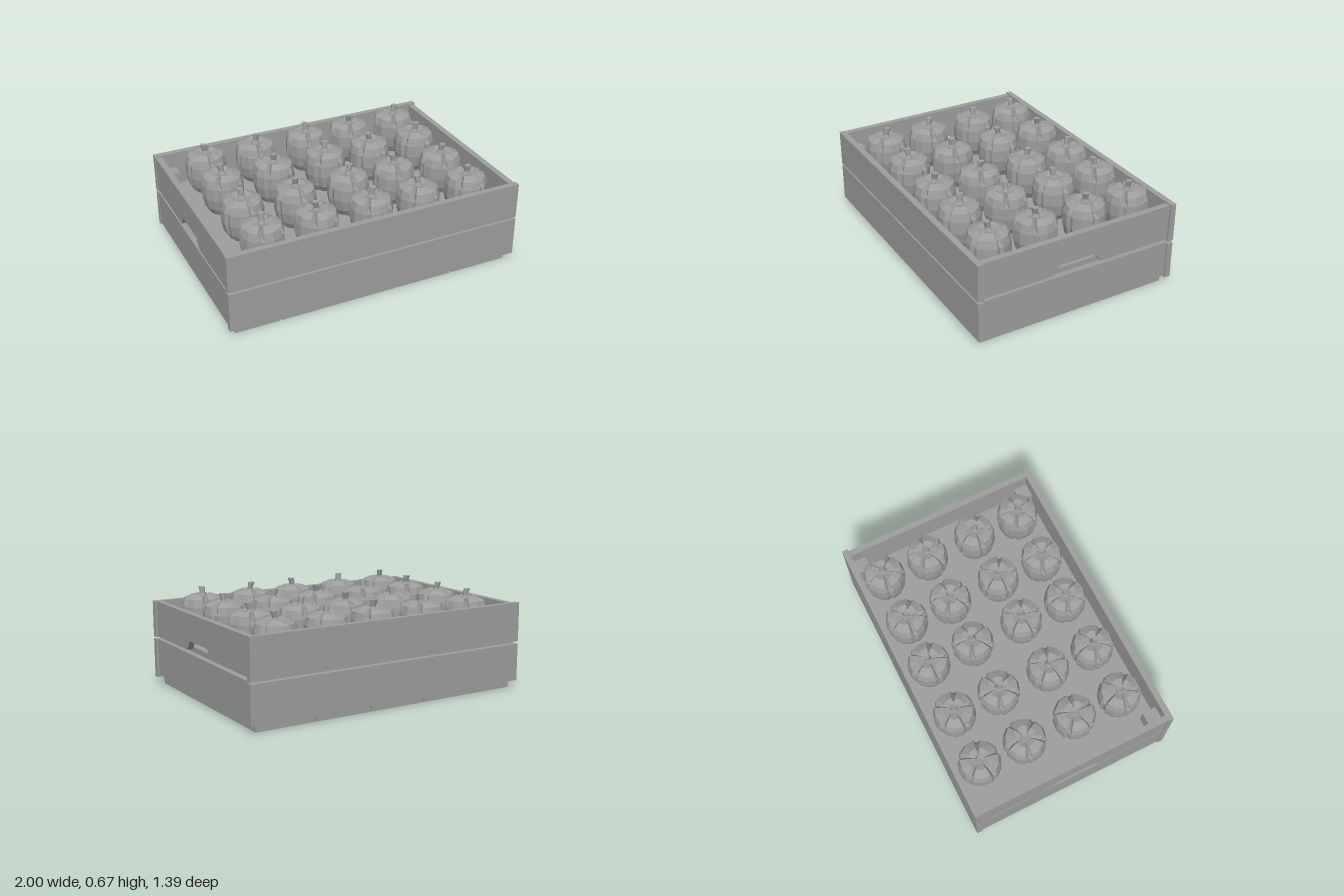
import * as THREE from 'three';

const mat = new THREE.MeshStandardMaterial({ color: 0x9d9d9d, flatShading: true });

function addBox(parent, name, [x0, x1], [y0, y1], [z0, z1], tilt = 0) {
  const mesh = new THREE.Mesh(new THREE.BoxGeometry(x1 - x0, y1 - y0, z1 - z0), mat);
  mesh.position.set((x0 + x1) / 2, (y0 + y1) / 2, (z0 + z1) / 2);
  mesh.rotation.x = tilt;
  mesh.name = name;
  parent.add(mesh);
}

// End board with a trapezoid hand hole cut into its lower edge
function addHandleBoard(parent, name, x0, thickness) {
  const shape = new THREE.Shape([
    [-0.657, 0.33], [-0.16, 0.33], [-0.108, 0.393], [0.142, 0.393],
    [0.188, 0.33], [0.657, 0.33], [0.657, 0.57], [-0.657, 0.57],
  ].map(([z, y]) => new THREE.Vector2(-z, y)));
  const geo = new THREE.ExtrudeGeometry(shape, { depth: thickness, bevelEnabled: false });
  geo.rotateY(Math.PI / 2); // shape x becomes -z, depth becomes x
  const mesh = new THREE.Mesh(geo, mat);
  mesh.position.x = x0;
  mesh.name = name;
  parent.add(mesh);
}

// Low-poly pumpkin body: broad flat lobes split by narrow grooves, notched at the shoulder
function pumpkinGeometry() {
  const profile = [
    [0, 0.33], [0.07, 0.33], [0.095, 0.35], [0.122, 0.395], [0.138, 0.47],
    [0.137, 0.55], [0.122, 0.602], [0.07, 0.624], [0.025, 0.612], [0, 0.61],
  ].map(([r, y]) => new THREE.Vector2(r, y));
  const lobes = 5, perLobe = 4;
  const geo = new THREE.LatheGeometry(profile, lobes * perLobe);
  const pos = geo.attributes.position;
  const steps = [0, 0.14, 0.5, 0.86];
  const rows = profile.length;
  for (let i = 0; i < pos.count; i++) {
    const col = Math.floor(i / rows), k = col % perLobe;
    const angle = (Math.floor(col / perLobe) + steps[k]) / lobes * Math.PI * 2;
    const y = pos.getY(i), r = profile[i % rows].x;
    const groove = k === 0 ? (y > 0.57 ? 0.8 : 0.91) : 1;
    const dip = k === 0 && y > 0.58 && r > 0.05 ? 0.018 : 0;
    pos.setXYZ(i, Math.sin(angle) * r * groove, y - dip, Math.cos(angle) * r * groove);
  }
  geo.computeVertexNormals();
  return geo;
}

// Seven-sided stem, flared at the foot and leaning to one side
function stemGeometry() {
  const profile = [[0, 0.6], [0.034, 0.6], [0.018, 0.63], [0.022, 0.672], [0, 0.668]]
    .map(([r, y]) => new THREE.Vector2(r, y));
  const geo = new THREE.LatheGeometry(profile, 7);
  const pos = geo.attributes.position;
  for (let i = 0; i < pos.count; i++) {
    const t = Math.max(0, (pos.getY(i) - 0.6) / 0.07);
    pos.setX(i, pos.getX(i) - 0.012 * t * t);
  }
  geo.computeVertexNormals();
  return geo;
}

export function createModel() {
  const model = new THREE.Group();
  model.name = 'pumpkinCrate';

  const crate = new THREE.Group();
  crate.name = 'crate';
  model.add(crate);

  // Base planks with narrow gaps
  [[-0.957, -0.665], [-0.654, -0.256], [-0.245, 0.14], [0.151, 0.542], [0.555, 0.95]]
    .forEach((x, i) => addBox(crate, `basePlank${i + 1}`, x, [0, 0.066], [-0.658, 0.66]));

  // Long boards
  addBox(crate, 'frontLowerBoard', [-1, 1], [0.05, 0.313], [0.657, 0.697]);
  addBox(crate, 'frontUpperBoard', [-1, 1], [0.327, 0.57], [0.657, 0.697]);
  addBox(crate, 'backLowerBoard', [-1, 1], [0.05, 0.3], [-0.697, -0.658]);
  addBox(crate, 'backUpperBoard', [-1, 1], [0.317, 0.578], [-0.697, -0.658]);

  // End boards
  for (const [side, x0] of [['left', 0.947], ['right', -0.995]]) {
    addBox(crate, `${side}LowerBoard`, [x0, x0 + 0.04], [0.064, 0.31], [-0.657, 0.657], -0.005);
    addHandleBoard(crate, `${side}HandleBoard`, x0, 0.04);
  }

  // Corner posts
  for (const x of [[-0.955, -0.86], [0.852, 0.947]])
    for (const z of [[-0.658, -0.565], [0.563, 0.657]])
      addBox(crate, 'cornerPost', x, [0.06, 0.47], z);

  // Raised inner floor
  addBox(crate, 'innerFloor', [-0.955, 0.947], [0.295, 0.345], [-0.658, 0.657]);

  // Pumpkins in a grid, each turned differently
  const body = pumpkinGeometry(), stem = stemGeometry();
  const columns = [-0.69, -0.33, 0.045, 0.38, 0.735], rows = [-0.515, -0.2, 0.155, 0.48];
  rows.forEach((z, r) => columns.forEach((x, c) => {
    const pumpkin = new THREE.Group();
    pumpkin.name = `pumpkin${r * columns.length + c + 1}`;
    for (const [name, geo] of [['pumpkinBody', body], ['stem', stem]]) {
      const mesh = new THREE.Mesh(geo, mat);
      mesh.name = name;
      pumpkin.add(mesh);
    }
    pumpkin.position.set(x, 0, z);
    pumpkin.rotation.y = (r * 5 + c) * 2.4;
    model.add(pumpkin);
  }));

  return model;
}
